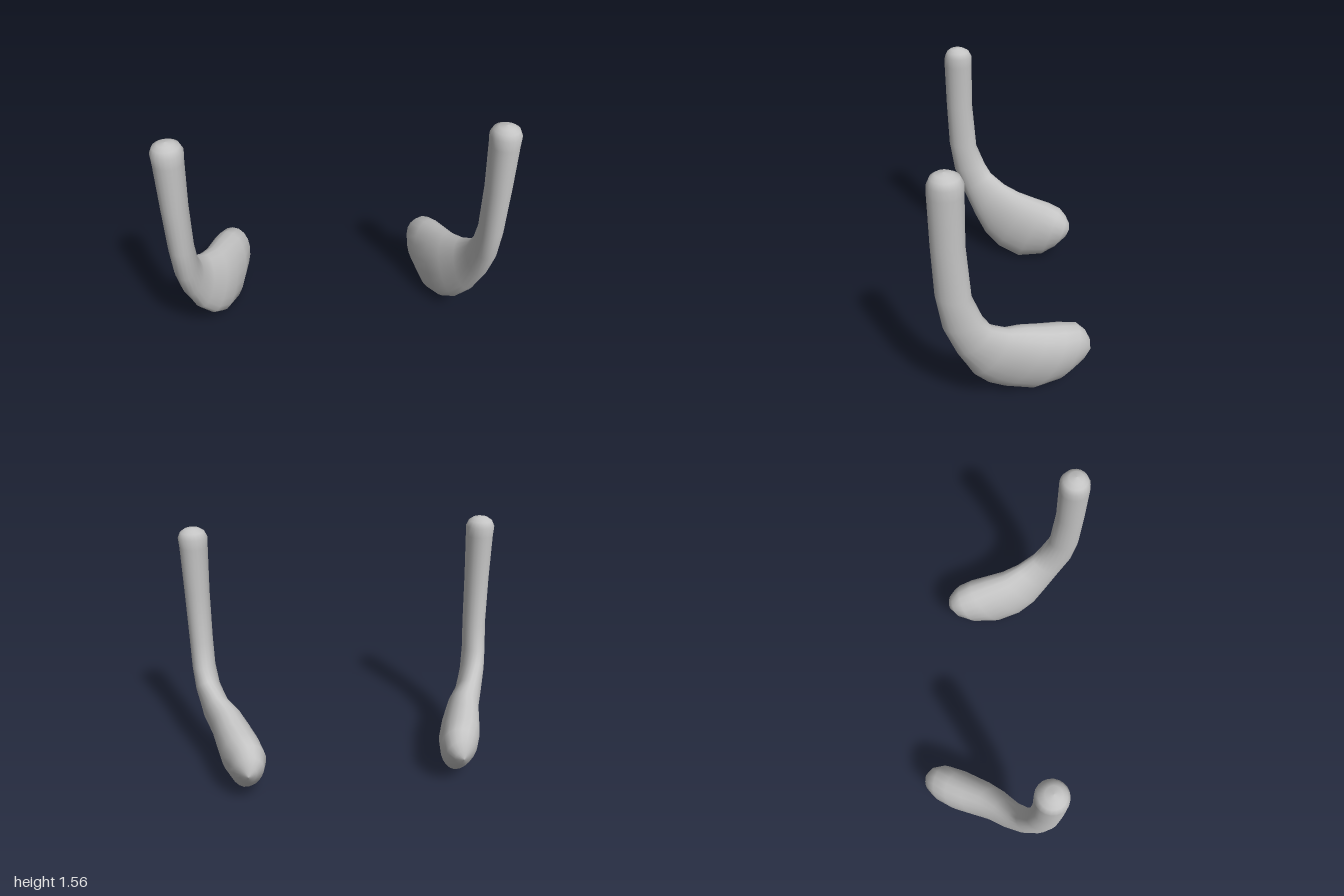
import * as THREE from 'three';

// Sections from the rounded top to the blade tip:
// front/lower edge (x, y, z), back/upper edge (x, y, z), half thickness
const SECTIONS = [
  [0.91, 1.561, 0.352, 0.91, 1.561, 0.348, 0.002],
  [0.91, 1.553, 0.395, 0.91, 1.553, 0.305, 0.045],
  [0.91, 1.535, 0.42, 0.91, 1.535, 0.272, 0.074],
  [0.91, 1.5, 0.436, 0.91, 1.5, 0.254, 0.09],
  [0.91, 1.44, 0.44, 0.91, 1.44, 0.255, 0.086],
  [0.914, 1.15, 0.438, 0.914, 1.15, 0.26, 0.078],
  [0.914, 0.85, 0.43, 0.914, 0.83, 0.238, 0.074],
  [0.912, 0.64, 0.40, 0.908, 0.68, 0.18, 0.074],
  [0.90, 0.46, 0.335, 0.885, 0.605, 0.135, 0.078],
  [0.865, 0.27, 0.25, 0.83, 0.54, 0.04, 0.086],
  [0.80, 0.145, 0.175, 0.775, 0.505, -0.06, 0.10],
  [0.745, 0.065, 0.08, 0.74, 0.475, -0.17, 0.115],
  [0.70, 0.005, -0.07, 0.70, 0.45, -0.28, 0.125],
  [0.67, 0.04, -0.24, 0.66, 0.42, -0.362, 0.115],
  [0.67, 0.10, -0.32, 0.65, 0.365, -0.41, 0.09],
  [0.67, 0.175, -0.395, 0.655, 0.31, -0.435, 0.05],
  [0.663, 0.24, -0.438, 0.663, 0.25, -0.44, 0.003],
];
const SIDES = 20;

// Loft of oval sections; side is +1 (left) or -1 (right)
function hookGeometry(side) {
  const rings = SECTIONS.map((s) => {
    const a = new THREE.Vector3(s[0], s[1], s[2]);
    const b = new THREE.Vector3(s[3], s[4], s[5]);
    return { mid: a.clone().add(b).multiplyScalar(0.5), half: b.sub(a).multiplyScalar(0.5), h: s[6] };
  });
  const last = rings.length - 1;
  const positions = [];
  const index = [];
  rings.forEach((r, i) => {
    const tangent = rings[Math.min(i + 1, last)].mid.clone().sub(rings[Math.max(i - 1, 0)].mid);
    const normal = tangent.cross(r.half).normalize();
    const egg = i > 9 ? 0.18 : 0; // the blade is thicker towards its upper edge
    for (let j = 0; j < SIDES; j++) {
      const t = (j / SIDES) * Math.PI * 2;
      const p = r.mid.clone()
        .addScaledVector(r.half, Math.cos(t))
        .addScaledVector(normal, Math.sin(t) * r.h * (1 + egg * Math.cos(t)));
      positions.push(p.x * side, p.y, p.z);
    }
  });
  const tri = (a, b, c) => (side > 0 ? index.push(a, b, c) : index.push(a, c, b));
  for (let i = 0; i < last; i++) {
    for (let j = 0; j < SIDES; j++) {
      const k = (j + 1) % SIDES;
      const a = i * SIDES + j, b = i * SIDES + k;
      tri(a, b, a + SIDES);
      tri(b, b + SIDES, a + SIDES);
    }
  }
  // Close both ends
  for (let j = 1; j < SIDES - 1; j++) {
    tri(0, j + 1, j);
    tri(last * SIDES, last * SIDES + j, last * SIDES + j + 1);
  }
  const g = new THREE.BufferGeometry();
  g.setAttribute('position', new THREE.Float32BufferAttribute(positions, 3));
  g.setIndex(index);
  g.computeVertexNormals();
  return g;
}

export function createModel() {
  const group = new THREE.Group();
  group.name = 'hookPair';
  const grey = new THREE.MeshStandardMaterial({ color: 0xc4c4c4 });
  grey.name = 'lightGrey';
  for (const [name, side] of [['leftHook', 1], ['rightHook', -1]]) {
    const mesh = new THREE.Mesh(hookGeometry(side), grey);
    mesh.name = name;
    group.add(mesh);
  }
  return group;
}
